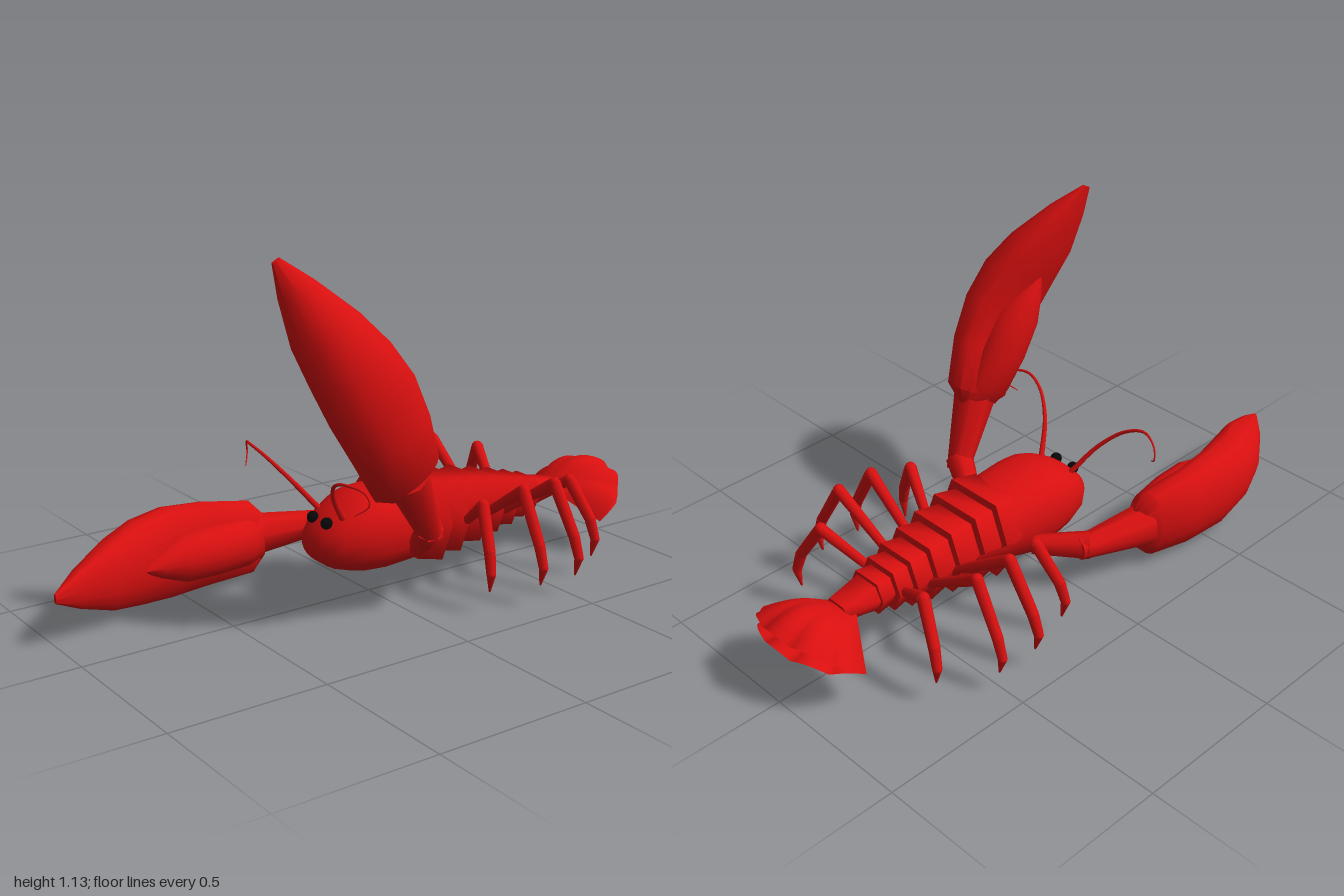
import * as THREE from 'three';
import { toCreasedNormals } from 'three/addons/utils/BufferGeometryUtils.js';

const red = new THREE.MeshStandardMaterial({ color: 0xd80f0f });
const redSheet = new THREE.MeshStandardMaterial({ color: 0xd80f0f, side: THREE.DoubleSide });
const black = new THREE.MeshStandardMaterial({ color: 0x080808 });
const V = (x, y, z) => new THREE.Vector3(x, y, z);

function add(parent, name, geometry, material = red) {
  const mesh = new THREE.Mesh(geometry, material);
  mesh.name = name;
  parent.add(mesh);
  return mesh;
}

// Closed skin over equal-length rings of points, with both ends capped.
function loft(rings, crease) {
  const n = rings[0].length, pts = rings.flat(), faces = [];
  for (let r = 0; r < rings.length - 1; r++) {
    for (let i = 0; i < n; i++) {
      const a = r * n + i, b = r * n + (i + 1) % n;
      faces.push([a, b, b + n], [a, b + n, a + n]);
    }
  }
  const last = (rings.length - 1) * n;
  for (let i = 1; i < n - 1; i++) faces.push([0, i + 1, i], [last, last + i, last + i + 1]);
  // turn all faces outward using the signed volume
  let volume = 0;
  for (const [a, b, c] of faces) volume += pts[a].dot(pts[b].clone().cross(pts[c]));
  if (volume < 0) faces.forEach(f => f.reverse());
  const geo = new THREE.BufferGeometry().setFromPoints(pts);
  geo.setIndex(faces.flat());
  geo.computeVertexNormals();
  return toCreasedNormals(geo, crease);
}

// Tapered round rod between two points.
function rod(a, b, ra, rb, sides = 8) {
  const d = b.clone().sub(a);
  const geo = new THREE.CylinderGeometry(rb, ra, d.length(), sides);
  geo.applyQuaternion(new THREE.Quaternion().setFromUnitVectors(V(0, 1, 0), d.normalize()));
  const mid = a.clone().add(b).multiplyScalar(0.5);
  return geo.translate(mid.x, mid.y, mid.z);
}

// Carapace: rounded rings of [z, half width, top, bottom]
function carapace() {
  const stations = [
    [0.22, 0.035, 0.218, 0.175], [0.203, 0.075, 0.25, 0.146], [0.16, 0.11, 0.292, 0.116],
    [0.1, 0.132, 0.33, 0.098], [0.05, 0.142, 0.348, 0.088], [0, 0.146, 0.353, 0.085],
    [-0.1, 0.14, 0.348, 0.09], [-0.2, 0.122, 0.335, 0.1]];
  return loft(stations.map(([z, w, top, bottom]) => Array.from({ length: 20 }, (_, i) => {
    const a = i / 20 * Math.PI * 2, c = Math.cos(a), s = Math.sin(a);
    return V(w * Math.sign(c) * Math.abs(c) ** 0.85,
      (top + bottom) / 2 + (top - bottom) / 2 * Math.sign(s) * Math.abs(s) ** 0.85, z);
  })), 1);
}

// Six-sided abdomen ring
function hexRing(z, w, top, bottom, k = 1) {
  const mid = (top + bottom) / 2, h = (top - bottom) / 2 * k;
  return [[0.66, 1], [1, 0], [0.66, -1], [-0.66, -1], [-1, 0], [-0.66, 1]]
    .map(([x, y]) => V(x * w * k, mid + y * h, z));
}

// Claw half: rings of [distance, inner x, ridge x, outer x, half height],
// fuller along the upper outside than the lower
function clawHalf(side, sections) {
  return loft(sections.map(([u, inner, ridge, outer, h]) => Array.from({ length: 16 }, (_, i) => {
    const a = i / 16 * Math.PI * 2, c = Math.cos(a), s = Math.sin(a);
    const x = ridge + (c > 0 ? (outer - ridge) * c ** (s > 0 ? 0.8 : 1.15) : (ridge - inner) * c);
    return V(side * x, -0.017 + h * s, 0.31 + u);
  })), 0.8);
}

const mainFinger = [
  [0, 0.27, 0.29, 0.32, 0.07], [0.05, 0.23, 0.3, 0.37, 0.122], [0.2, 0.25, 0.32, 0.4, 0.141],
  [0.34, 0.24, 0.315, 0.407, 0.15], [0.46, 0.205, 0.285, 0.392, 0.136],
  [0.57, 0.175, 0.23, 0.345, 0.111], [0.7, 0.157, 0.183, 0.25, 0.06],
  [0.79, 0.15, 0.155, 0.165, 0.015]];
const thumb = [
  [0.02, 0.24, 0.28, 0.31, 0.075], [0.08, 0.205, 0.27, 0.31, 0.08], [0.2, 0.182, 0.26, 0.31, 0.082],
  [0.32, 0.178, 0.25, 0.3, 0.078], [0.41, 0.19, 0.225, 0.27, 0.04], [0.47, 0.203, 0.21, 0.22, 0.008]];

// Arm and claw, pitched up about the shoulder
function clawArm(side, pitch) {
  const arm = new THREE.Group();
  arm.name = side > 0 ? 'leftClawArm' : 'rightClawArm';
  arm.position.set(0, 0.16, -0.1);
  arm.rotation.x = -pitch;
  const P = (x, y, z) => V(side * x, y, z);
  add(arm, 'upperArm', rod(P(0.13, 0, 0.005), P(0.262, 0, 0.13), 0.032, 0.045));
  add(arm, 'forearm', rod(P(0.25, 0, 0.09), P(0.3, -0.012, 0.35), 0.037, 0.07));
  add(arm, 'clawFinger', clawHalf(side, mainFinger));
  add(arm, 'clawThumb', clawHalf(side, thumb));
  return arm;
}

// Jointed walking leg reaching out from the hip at a yaw angle
function leg(side, [hipX, hipZ, yaw, reach, knee]) {
  const g = new THREE.Group();
  g.name = 'walkingLeg';
  const path = [[-0.03, 0.19], [0.203, knee], [0.293, 0.19], [0.316, 0.125], [0.302, 0.065]].map(([r, y]) =>
    V(side * (hipX + r * reach * Math.cos(yaw)), y, hipZ + r * reach * Math.sin(yaw)));
  const radii = [0.014, 0.02, 0.018, 0.015, 0.003];
  for (let i = 0; i < 4; i++) {
    add(g, 'legSegment', rod(path[i], path[i + 1], radii[i], radii[i + 1]));
    if (i) add(g, 'legJoint', new THREE.SphereGeometry(radii[i], 8, 6)).position.copy(path[i]);
  }
  return g;
}

// Rippled tail fan layer: raised by lift along the middle, drooping to the side corners
function tailFan(lift, drop) {
  const geo = new THREE.PlaneGeometry(1, 1, 40, 10), p = geo.attributes.position;
  for (let i = 0; i < p.count; i++) {
    const s = p.getX(i) * 2, t = p.getY(i) + 0.5, a = s * 1.16;
    const lobe = Math.abs(Math.cos(s * Math.PI * 2.5));
    const r = t * (0.254 - 0.045 * s ** 4 + 0.006 * lobe);
    const x = r * Math.sin(a) + (1 - t) * 0.055 * s;
    const y = 0.205 + (lift * Math.sin(Math.PI * t * 0.8) - drop * t) * (1 - s * s)
      - 0.08 * s * s * t ** 0.8 + 0.018 * t * t * (lobe - 0.5);
    p.setXYZ(i, x, y, -0.74 - r * Math.cos(a));
  }
  geo.computeVertexNormals();
  return geo;
}

export function createModel() {
  const model = new THREE.Group();
  model.name = 'lobster';
  add(model, 'carapace', carapace());

  // Overlapping abdomen plates, each flaring to the rear
  const plates = [[-0.22, 0.152, 0.355, 0.085], [-0.3, 0.141, 0.342, 0.095], [-0.39, 0.126, 0.327, 0.108],
    [-0.47, 0.114, 0.311, 0.12], [-0.54, 0.101, 0.295, 0.13], [-0.6, 0.087, 0.28, 0.142],
    [-0.655, 0.074, 0.265, 0.155]];
  plates.forEach((plate, i) => {
    const [, ...size] = plate;
    const front = i ? plates[i - 1][0] + 0.01 : -0.13;
    add(model, 'abdomenPlate', loft([hexRing(front, ...size, 0.87), hexRing(...plate)], 1.2));
  });
  add(model, 'tailBase', loft([hexRing(-0.64, 0.067, 0.255, 0.165), hexRing(-0.77, 0.048, 0.235, 0.185)], 1.2));
  add(model, 'upperTailFan', tailFan(0.075, 0), redSheet);
  add(model, 'lowerTailFan', tailFan(0.01, 0.015), redSheet);

  // One claw raised, one stretched forward
  model.add(clawArm(1, 1.085), clawArm(-1, 0.01));

  // Legs: hip x, hip z, yaw, reach, knee height
  const legs = [[0.12, -0.3, 0.4, 0.87, 0.315], [0.11, -0.385, 0.08, 1, 0.345],
    [0.11, -0.48, -0.09, 1, 0.345], [0.07, -0.57, -0.38, 0.87, 0.31]];
  for (const side of [1, -1]) {
    for (const spec of legs) model.add(leg(side, spec));
    // Eyes
    add(model, 'eye', new THREE.SphereGeometry(0.019, 16, 12), black).position.set(side * 0.038, 0.272, 0.185);
    // Antennae, curling outward and thinning to the tip
    const curve = new THREE.CatmullRomCurve3([[0.062, 0.28, 0.14], [0.12, 0.38, 0.215], [0.19, 0.445, 0.26],
      [0.26, 0.47, 0.272], [0.325, 0.455, 0.245], [0.335, 0.42, 0.237], [0.3, 0.385, 0.265]]
      .map(([x, y, z]) => V(side * x, y, z)));
    const geo = new THREE.TubeGeometry(curve, 36, 0.01, 6), p = geo.attributes.position;
    for (let i = 0; i < p.count; i++) {
      const t = Math.floor(i / 7) / 36, c = curve.getPointAt(t);
      const v = V(0, 0, 0).fromBufferAttribute(p, i).sub(c).multiplyScalar(1 - 0.85 * t).add(c);
      p.setXYZ(i, v.x, v.y, v.z);
    }
    add(model, 'antenna', geo);
  }
  return model;
}
